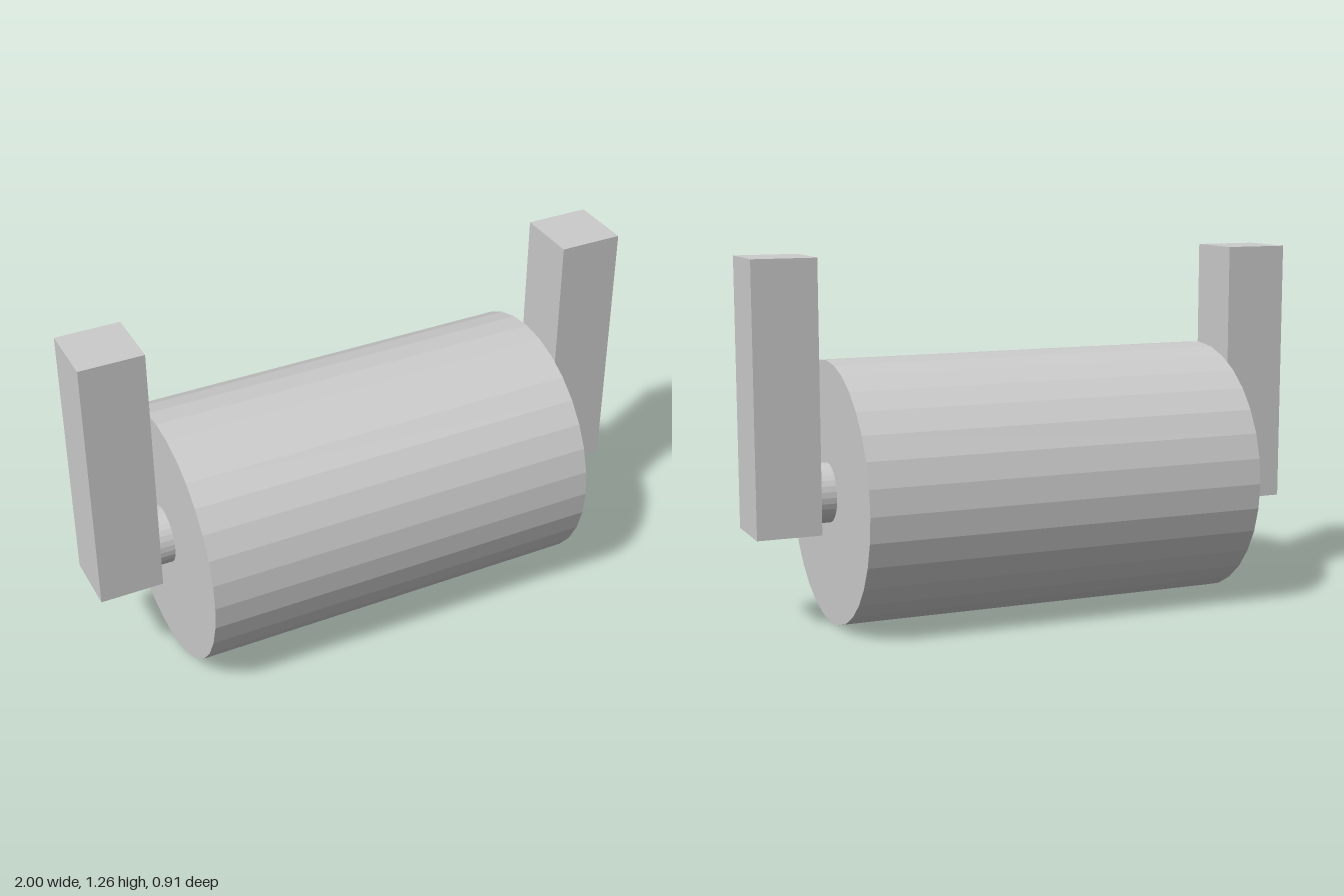
import * as THREE from 'three';

export function createModel() {
  const group = new THREE.Group();
  group.name = 'rollerWithHangers';
  const material = new THREE.MeshStandardMaterial({ color: 0xcccccc, flatShading: true });
  const axisY = 0.456;

  function add(name, geometry, x, y) {
    const mesh = new THREE.Mesh(geometry, material);
    mesh.name = name;
    mesh.position.set(x, y, 0);
    group.add(mesh);
  }

  // Cylinder lying along x
  const rod = (radius, length) =>
    new THREE.CylinderGeometry(radius, radius, length, 32).rotateZ(Math.PI / 2);

  add('drum', rod(0.456, 1.436), 0, axisY);

  // Axle stubs and upright hanger bars at both ends
  for (const [side, s] of [['left', 1], ['right', -1]]) {
    add(side + 'Axle', rod(0.103, 0.058), s * 0.747, axisY);
    add(side + 'Hanger', new THREE.BoxGeometry(0.225, 0.932, 0.226), s * 0.8875, 0.799);
  }

  return group;
}
